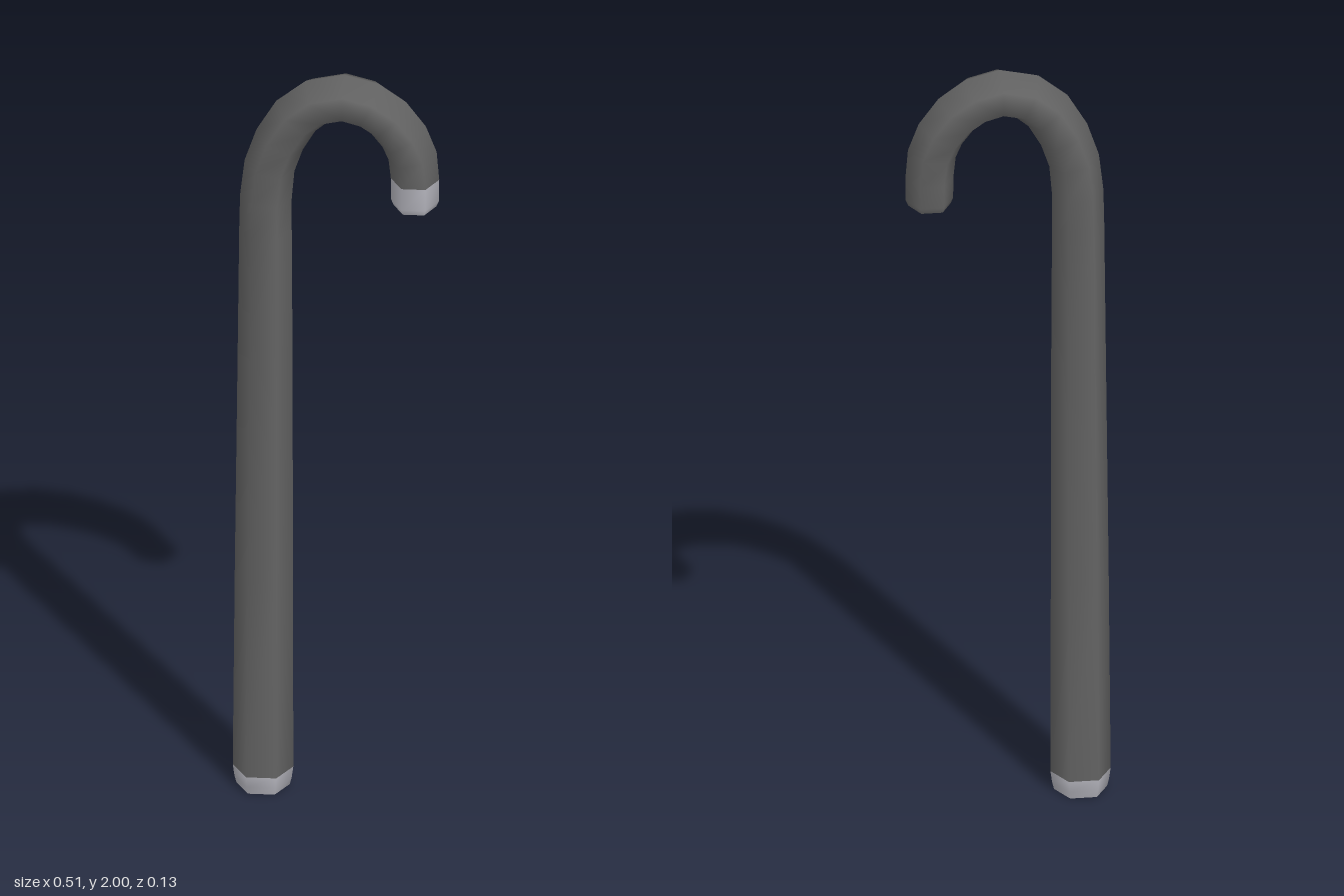
import * as THREE from 'three';

// Centreline stations from foot to hook end: x, y, radius in plane, radius across
const stations = [
  [-0.182, 0.0, 0.066, 0.066],
  [-0.182, 0.02, 0.071, 0.071],
  [-0.182, 0.05, 0.075, 0.075],
  [-0.180, 0.6, 0.072, 0.071],
  [-0.177, 1.2, 0.068, 0.068],
  [-0.176, 1.56, 0.065, 0.066],
  [-0.175, 1.65, 0.064, 0.067],
  [-0.166, 1.738, 0.063, 0.069],
  [-0.141, 1.812, 0.063, 0.072],
  [-0.101, 1.88, 0.063, 0.075],
  [-0.050, 1.922, 0.063, 0.076],
  [0.018, 1.937, 0.063, 0.076],
  [0.077, 1.921, 0.063, 0.076],
  [0.128, 1.885, 0.063, 0.074],
  [0.167, 1.833, 0.062, 0.071],
  [0.188, 1.78, 0.061, 0.067],
  [0.194, 1.715, 0.060, 0.064],
  [0.194, 1.655, 0.059, 0.063],
  [0.194, 1.64, 0.053, 0.057],
];
const SIDES = 6;
const FOOT_TOP = 2;   // station where the foot ferrule ends
const TIP_START = 16; // station where the hook tip begins

export function createModel() {
  const group = new THREE.Group();
  group.name = 'cane';
  const darkGrey = new THREE.MeshStandardMaterial({ color: 0x636363 });
  darkGrey.name = 'dark grey';
  const silver = new THREE.MeshStandardMaterial({ color: 0xb2b2ba });
  silver.name = 'silver';

  // Hexagonal rings, with one corner on the outside of the bend
  const last = stations.length - 1;
  const positions = [];
  stations.forEach(([x, y, r, rz], i) => {
    const a = stations[Math.max(i - 1, 0)];
    const b = stations[Math.min(i + 1, last)];
    const t = new THREE.Vector2(b[0] - a[0], b[1] - a[1]).normalize();
    // keep both straight ends square
    if (i <= FOOT_TOP) t.set(0, 1);
    if (i >= TIP_START) t.set(0, -1);
    for (let k = 0; k < SIDES; k++) {
      const angle = (k / SIDES) * Math.PI * 2;
      const c = Math.cos(angle) * r;
      positions.push(x - t.y * c, y + t.x * c, Math.sin(angle) * rz);
    }
  });

  // Wall faces sorted by part; only the front half of the hook tip is silver
  const faces = { shaft: [], footFerrule: [], hookTip: [] };
  for (let i = 0; i < last; i++) {
    for (let k = 0; k < SIDES; k++) {
      const n = (k + 1) % SIDES;
      const a = i * SIDES + k, b = i * SIDES + n;
      const c = b + SIDES, d = a + SIDES;
      const part = i < FOOT_TOP ? 'footFerrule'
        : i >= TIP_START && k < SIDES / 2 ? 'hookTip' : 'shaft';
      faces[part].push(a, b, c, a, c, d);
    }
  }

  // Smooth normals shared across the parts
  const whole = new THREE.BufferGeometry();
  whole.setAttribute('position', new THREE.Float32BufferAttribute(positions, 3));
  whole.setIndex(Object.values(faces).flat());
  whole.computeVertexNormals();

  for (const [name, index] of Object.entries(faces)) {
    const geometry = new THREE.BufferGeometry();
    geometry.setAttribute('position', whole.getAttribute('position'));
    geometry.setAttribute('normal', whole.getAttribute('normal'));
    geometry.setIndex(index);
    const mesh = new THREE.Mesh(geometry, name === 'shaft' ? darkGrey : silver);
    mesh.name = name;
    group.add(mesh);
  }

  // Flat end faces, both facing down
  for (const [name, i] of [['footCap', 0], ['hookCap', last]]) {
    const [x, y, r, rz] = stations[i];
    const cap = new THREE.Mesh(new THREE.CircleGeometry(1, SIDES), silver);
    cap.name = name;
    cap.rotation.x = Math.PI / 2;
    cap.scale.set(r, rz, 1);
    cap.position.set(x, y, 0);
    group.add(cap);
  }
  return group;
}
